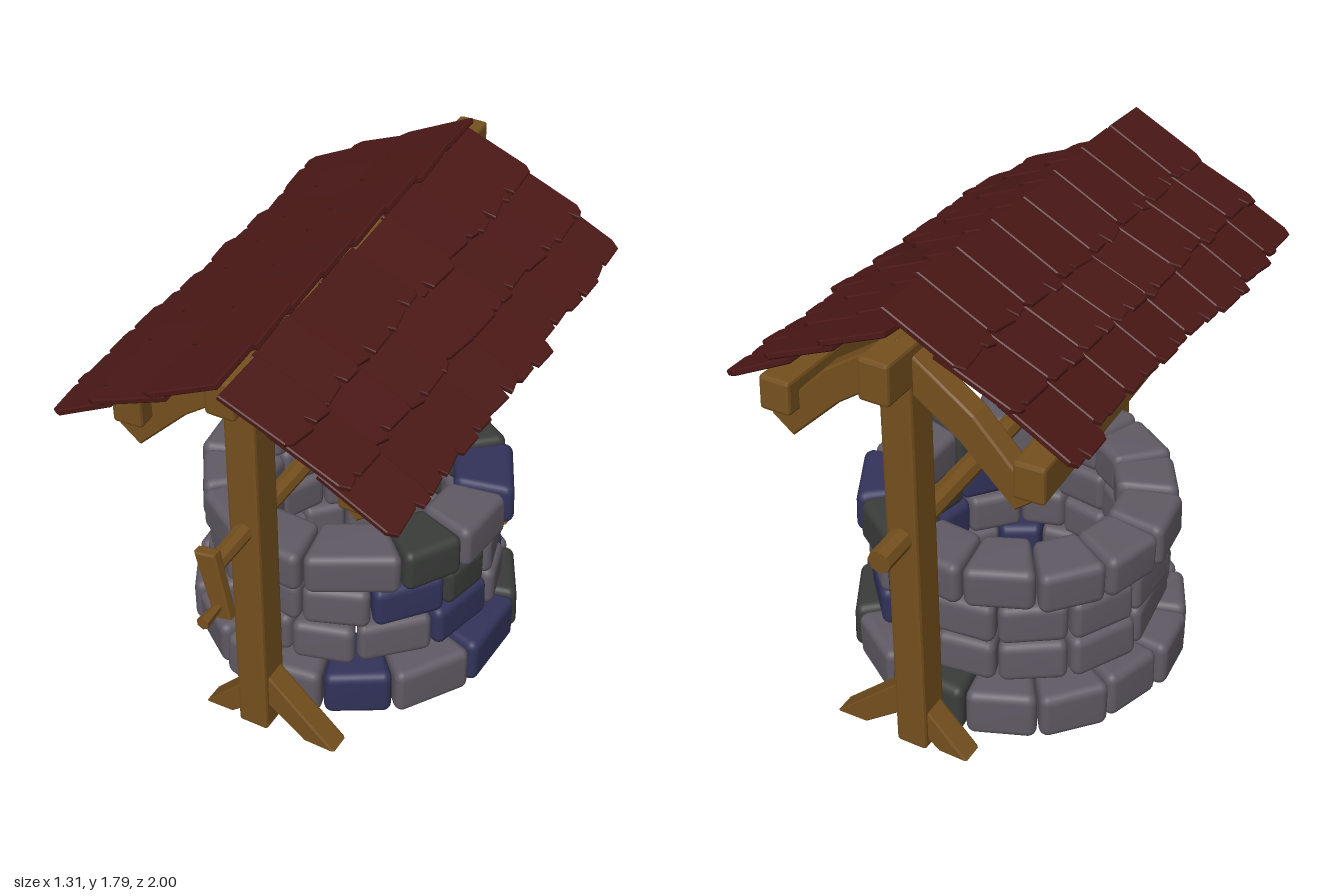
import * as THREE from 'three';
import { mergeVertices } from 'three/addons/utils/BufferGeometryUtils.js';
import { RoundedBoxGeometry } from 'three/addons/geometries/RoundedBoxGeometry.js';

const mat = (color, flatShading = false) => new THREE.MeshStandardMaterial({ color, flatShading });
const wood = mat(0x75501e, true);
const roofRed = mat(0x4a1816, true);
const stones = { g: mat(0x605a64), d: mat(0x3a3c3a), b: mat(0x32335a) };
const V = (x, y, z) => new THREE.Vector3(x, y, z);

let seed = 7;
const jitter = (amount) => {
  seed = (seed * 16807) % 2147483647;
  return (seed / 2147483647 - 0.5) * 2 * amount;
};

function add(parent, name, geometry, material) {
  const mesh = new THREE.Mesh(geometry, material);
  mesh.name = name;
  parent.add(mesh);
  return mesh;
}

// Softly bevelled timber running between two points
function beam(parent, name, a, b, width, height) {
  const mesh = add(parent, name, new RoundedBoxGeometry(width, height, a.distanceTo(b), 1, 0.012), wood);
  mesh.position.copy(a).add(b).multiplyScalar(0.5);
  mesh.lookAt(b);
  return mesh;
}

// Flat timber cut from an outline in the x-y plane, centred on z
function plank(parent, name, points, y, z, depth) {
  const shape = new THREE.Shape(points.map(([px, py]) => new THREE.Vector2(px, py)));
  const geometry = new THREE.ExtrudeGeometry(shape, {
    depth: depth - 0.016, bevelThickness: 0.008, bevelSize: 0.006, bevelOffset: -0.006, bevelSegments: 1,
  });
  geometry.translate(0, y, z - depth / 2 + 0.008);
  return add(parent, name, geometry, wood);
}

// One stone: a rounded block bent around the well's axis
function stone(parent, a0, a1, y0, y1, inner, outer, material) {
  const width = (a1 - a0) * outer - 0.006;
  const geometry = new RoundedBoxGeometry(width, y1 - y0, outer - inner, 3, 0.035);
  const p = geometry.attributes.position;
  const mid = (a0 + a1) / 2, shift = jitter(0.012), lean = jitter(0.05);
  for (let i = 0; i < p.count; i++) {
    const angle = mid + p.getX(i) / outer;
    const r = (inner + outer) / 2 + p.getZ(i) + shift + lean * p.getY(i);
    p.setXYZ(i, Math.sin(angle) * r, p.getY(i) + (y0 + y1) / 2 + p.getX(i) * lean * 0.5, Math.cos(angle) * r);
  }
  geometry.deleteAttribute('uv');
  geometry.deleteAttribute('normal');
  const smooth = mergeVertices(geometry, 1e-4);
  smooth.computeVertexNormals();
  add(parent, 'stone', smooth, material);
}

function buildWell() {
  const well = new THREE.Group();
  well.name = 'stoneWell';
  well.position.set(-0.015, 0, -0.09);
  // Start angle of each stone in degrees from the front, and one colour letter per stone
  const courses = [
    { y: [0.01, 0.2], r: 0.615, tint: 'gggbgbdgdggggg', at: [-50, -24, -4, 17, 42, 72, 104, 132, 160, 190, 215, 240, 264, 287] },
    { y: [0.205, 0.37], r: 0.545, tint: 'ggggbgbggggg', at: [-62, -27, 3, 29, 61, 93, 116, 147, 175, 200, 228, 258] },
    { y: [0.375, 0.54], r: 0.545, tint: 'gggbdggdggggg', at: [-49, -26, 7, 35, 66, 90, 121, 149, 172, 200, 228, 256, 284] },
    { y: [0.545, 0.715], r: 0.58, tint: 'gggdgbdgggggg', at: [-46, -20, 9, 46, 71, 101, 132, 160, 188, 215, 240, 264, 290] },
  ];
  for (const { y, r, tint, at } of courses) {
    const course = new THREE.Group();
    course.name = 'stoneCourse';
    well.add(course);
    at.forEach((start, i) => {
      const end = i + 1 < at.length ? at[i + 1] : at[0] + 360;
      stone(course, THREE.MathUtils.degToRad(start), THREE.MathUtils.degToRad(end), y[0], y[1], 0.355, r, stones[tint[i]]);
    });
  }
  return well;
}

function buildFrame() {
  const frame = new THREE.Group();
  frame.name = 'timberFrame';
  // Posts with splayed feet and a pair of rafters each
  const posts = [
    { name: 'front', z: 0.62, top: 0.63, lift: 0 },
    { name: 'back', z: -0.8, top: -0.805, lift: 0.06 },
  ];
  for (const { name, z, top, lift } of posts) {
    beam(frame, name + 'Post', V(-0.01, 0.04, z), V(-0.01, 1.54 + lift, top), 0.118, 0.128);
    plank(frame, name + 'LeftFoot', [[0.02, 0.31], [0.02, 0.17], [0.19, 0.04], [0.31, 0.04]], 0, z, 0.09);
    plank(frame, name + 'RightFoot', [[-0.04, 0.23], [-0.22, 0.04], [-0.11, 0.04], [-0.04, 0.1]], 0, z, 0.09);
    for (const side of [1, -1]) {
      const outline = [[0, 1.64], [0, 1.5], [0.22, 1.34], [0.41, 1.15], [0.49, 1.215], [0.27, 1.45]];
      plank(frame, name + (side > 0 ? 'LeftRafter' : 'RightRafter'),
        outline.map(([x, y]) => [side * x - 0.01, y]), lift, top - 0.005, 0.085);
    }
  }
  // Long roof timbers, rising towards the back
  beam(frame, 'ridgeBeam', V(-0.01, 1.57, 0.8), V(-0.015, 1.625, -0.99), 0.11, 0.15);
  beam(frame, 'leftPurlin', V(0.43, 1.31, 0.74), V(0.42, 1.39, -0.91), 0.115, 0.125);
  beam(frame, 'rightPurlin', V(-0.41, 1.35, 0.74), V(-0.5, 1.375, -0.91), 0.11, 0.135);
  return frame;
}

function buildWinch() {
  const winch = new THREE.Group();
  winch.name = 'winch';
  // Slightly bowed, eight-sided axle
  const axle = new THREE.CylinderGeometry(0.033, 0.043, 1.86, 8, 6);
  axle.rotateX(Math.PI / 2);
  const p = axle.attributes.position;
  for (let i = 0; i < p.count; i++) {
    const t = p.getZ(i) / 0.93;
    p.setY(i, p.getY(i) + 0.02 * (1 - t * t));
  }
  axle.translate(-0.01, 0.95, -0.07);
  add(winch, 'axle', axle, wood);
  // Crank arm and flared grip
  plank(winch, 'crankArm', [[-0.065, 1.01], [0, 0.75], [0.065, 0.765], [0.015, 1.025]], 0, 0.885, 0.045);
  const grip = add(winch, 'crankGrip', new THREE.CylinderGeometry(0.014, 0.024, 0.11, 6), wood);
  grip.rotation.x = -Math.PI / 2;
  grip.position.set(0.02, 0.81, 0.945);
  return winch;
}

// Thin shingle with a ragged lower edge and a small split; top edge at v = length
function shingleGeometry(width, length) {
  const w = width / 2, n = jitter(w * 0.5), depth = 0.035 + jitter(0.015);
  const outline = [
    [-w, length], [-w * 1.02, 0.03], [-w + 0.02, jitter(0.012)], [n - 0.014, jitter(0.01)], [n, depth],
    [n + 0.014, jitter(0.01)], [w - 0.015, jitter(0.012)], [w * 1.02, 0.03], [w, length],
  ];
  const shape = new THREE.Shape(outline.map(([x, y]) => new THREE.Vector2(x, y)));
  return new THREE.ExtrudeGeometry(shape, {
    depth: 0.014, bevelThickness: 0.004, bevelSize: 0.004, bevelOffset: -0.004, bevelSegments: 1,
  });
}

function buildRoof() {
  const roof = new THREE.Group();
  roof.name = 'shingleRoof';
  roof.position.y = 1.5;
  roof.rotation.x = 0.036;
  // Each row: upper and lower edge in x-y, listed from ridge to eave
  const slopes = [
    { name: 'leftSlope', side: 1, z: -0.01, rows: [[0.02, 0.17, 0.28, 0.06], [0.2, 0.075, 0.47, -0.04], [0.37, -0.02, 0.625, -0.15]] },
    { name: 'rightSlope', side: -1, z: 0.03, rows: [[0.06, 0.245, -0.22, 0.105], [-0.13, 0.13, -0.43, 0.005], [-0.35, 0.025, -0.6, -0.105]] },
  ];
  const count = 8, pitch = 0.217;
  for (const { name, side, z, rows } of slopes) {
    const slope = new THREE.Group();
    slope.name = name;
    roof.add(slope);
    rows.forEach(([x0, y0, x1, y1], row) => {
      const up = V(x0 - x1, y0 - y1, 0);
      const length = up.length();
      up.normalize();
      const normal = V(side * up.y, Math.abs(up.x), 0);
      const basis = new THREE.Matrix4().makeBasis(V(0, 0, -side), up, normal);
      for (let i = 0; i < count; i++) {
        const slide = row === 2 ? jitter(0.035) : jitter(0.012);
        const mesh = add(slope, 'shingle', shingleGeometry(pitch + 0.006, length + (row ? slide : 0)), roofRed);
        mesh.quaternion.setFromRotationMatrix(basis);
        mesh.position.set(x1, y1, z + (i - (count - 1) / 2) * pitch).addScaledVector(up, -slide);
        mesh.rotateY(-side * 0.05 + jitter(0.04));
        mesh.rotateZ(jitter(0.02));
      }
    });
  }
  return roof;
}

export function createModel() {
  const model = new THREE.Group();
  model.name = 'wishingWell';
  model.add(buildWell(), buildFrame(), buildWinch(), buildRoof());
  return model;
}
